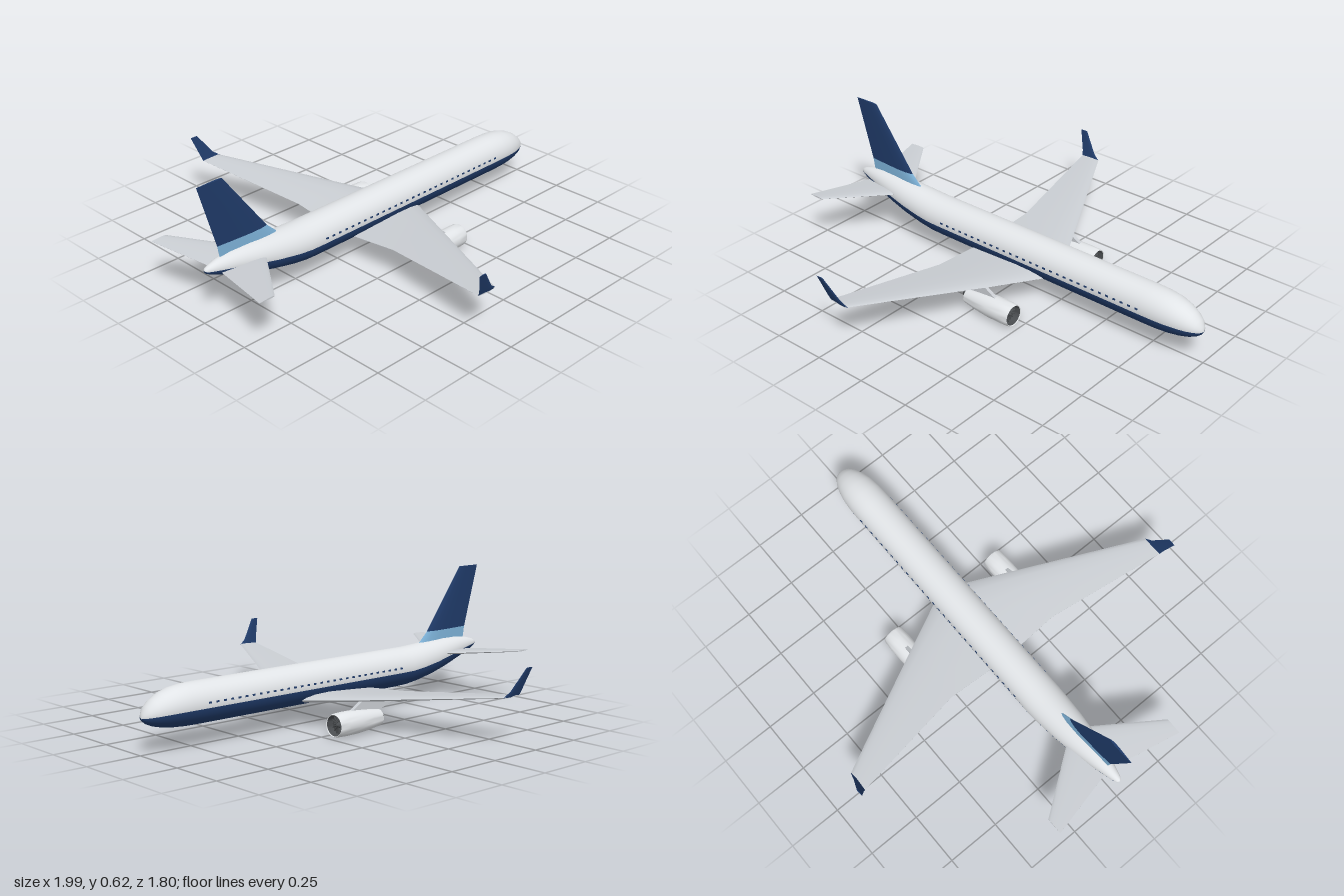
import * as THREE from 'three';
import { toCreasedNormals } from 'three/addons/utils/BufferGeometryUtils.js';

const paint = (name, color) => {
  const m = new THREE.MeshStandardMaterial({ color });
  m.name = name;
  return m;
};

// Airfoil half profile: position along the chord, half thickness
const FOIL = [[0, 0], [0.04, 0.24], [0.15, 0.45], [0.35, 0.5], [0.7, 0.27], [1, 0.03]];

// Lofts airfoil sections [leadingX, trailingX, y, z, thickness]; thickness runs along y or z
function foil(sections, along) {
  const loop = [...FOIL, ...FOIL.slice(1).reverse().map(([t, h]) => [t, -h])];
  const n = loop.length, pos = [], idx = [];
  for (const [le, te, y, z, thick] of sections) {
    for (const [t, h] of loop) {
      const off = h * thick;
      pos.push(le + (te - le) * t, y + (along === 'y' ? off : 0), z + (along === 'z' ? off : 0));
    }
  }
  for (let s = 0; s < sections.length - 1; s++) {
    for (let i = 0; i < n; i++) {
      const a = s * n + i, b = s * n + (i + 1) % n;
      idx.push(a, b, b + n, a, b + n, a + n);
    }
  }
  const last = (sections.length - 1) * n;
  for (let i = 1; i < n - 1; i++) idx.push(0, i + 1, i, last, last + i, last + i + 1);
  // Turn the faces outward whichever way the sections run
  const v = (k) => new THREE.Vector3().fromArray(pos, k * 3);
  let volume = 0;
  for (let i = 0; i < idx.length; i += 3) {
    volume += v(idx[i]).sub(v(0)).dot(v(idx[i + 1]).sub(v(0)).cross(v(idx[i + 2]).sub(v(0))));
  }
  if (volume < 0) idx.reverse();
  const g = new THREE.BufferGeometry();
  g.setAttribute('position', new THREE.Float32BufferAttribute(pos, 3));
  g.setIndex(idx);
  return toCreasedNormals(g, 0.7);
}

// Fuselage sections: x, top, bottom, half width
const BODY = [
  [-0.985, 0.241, 0.239, 0.001], [-0.98, 0.25, 0.228, 0.012], [-0.96, 0.259, 0.216, 0.02],
  [-0.92, 0.27, 0.2, 0.031], [-0.85, 0.28, 0.178, 0.047], [-0.75, 0.283, 0.146, 0.066],
  [-0.65, 0.279, 0.12, 0.079], [-0.55, 0.273, 0.101, 0.087], [-0.48, 0.27, 0.092, 0.09],
  [-0.42, 0.27, 0.09, 0.09], [0.1, 0.27, 0.09, 0.09], [0.72, 0.27, 0.09, 0.09],
  [0.79, 0.268, 0.091, 0.089], [0.85, 0.26, 0.095, 0.084], [0.9, 0.244, 0.102, 0.073],
  [0.94, 0.222, 0.112, 0.058], [0.968, 0.198, 0.124, 0.041], [0.985, 0.172, 0.137, 0.021],
  [0.991, 0.151, 0.149, 0.001],
];
const SEAM = 0.13; // angle of the paint line below the middle

function fuselageGeometry() {
  const up = 30, down = 24, n = up + down, pos = [], upper = [], lower = [];
  for (const [x, top, bottom, w] of BODY) {
    for (let i = 0; i < n; i++) {
      const a = i < up
        ? -SEAM + (Math.PI + 2 * SEAM) * i / up
        : Math.PI + SEAM + (Math.PI - 2 * SEAM) * (i - up) / down;
      pos.push(x, (top + bottom) / 2 + Math.sin(a) * (top - bottom) / 2, Math.cos(a) * w);
    }
  }
  for (let s = 0; s < BODY.length - 1; s++) {
    for (let i = 0; i < n; i++) {
      const a = s * n + i, b = s * n + (i + 1) % n;
      (i < up ? upper : lower).push(a, a + n, b + n, a, b + n, b);
    }
  }
  const g = new THREE.BufferGeometry();
  g.setAttribute('position', new THREE.Float32BufferAttribute(pos, 3));
  g.setIndex([...upper, ...lower]);
  g.addGroup(0, upper.length, 0);
  g.addGroup(upper.length, lower.length, 1);
  g.computeVertexNormals();
  return g;
}

// Turned part along x from [x, radius] points; ascending x faces outward
function turned(points) {
  const g = new THREE.LatheGeometry(points.map(([x, r]) => new THREE.Vector2(r, x)), 32);
  return toCreasedNormals(g.rotateZ(-Math.PI / 2), 0.6);
}

export function createModel() {
  const white = paint('fuselage white', 0xe2e5e8);
  const grey = paint('wing grey', 0xc9cdd2);
  const navy = paint('navy', 0x1f3a68);
  const blue = paint('light blue', 0x7db2d8);
  const dark = paint('dark metal', 0x4a4d50);

  const model = new THREE.Group();
  model.name = 'airliner';
  const add = (name, geometry, material, parent = model) => {
    const m = new THREE.Mesh(geometry, material);
    m.name = name;
    parent.add(m);
    return m;
  };

  add('fuselage', fuselageGeometry(), [white, navy]);

  // Tail fin with a pale band at its foot
  add('finBand', foil([[-0.575, -0.9, 0.255, 0, 0.026], [-0.65, -0.912, 0.325, 0, 0.022]], 'z'), blue);
  add('fin', foil([[-0.65, -0.912, 0.325, 0, 0.022], [-0.87, -0.998, 0.62, 0, 0.01]], 'z'), navy);

  for (const [side, s] of [['left', 1], ['right', -1]]) {
    // Wing, swept and rising to an upturned tip
    add(side + 'Wing', foil([
      [0.235, -0.212, 0.118, 0, 0.045],
      [0.19, -0.212, 0.124, s * 0.09, 0.04],
      [0.085, -0.205, 0.143, s * 0.3, 0.026],
      [-0.205, -0.302, 0.202, s * 0.868, 0.009],
    ], 'y'), grey);
    add(side + 'Winglet', foil([
      [-0.2, -0.302, 0.2, s * 0.864, 0.009],
      [-0.235, -0.308, 0.225, s * 0.873, 0.008],
      [-0.303, -0.34, 0.32, s * 0.899, 0.005],
    ], 'z'), navy);

    add(side + 'Stabilizer', foil([
      [-0.665, -0.912, 0.215, 0, 0.022],
      [-0.912, -0.99, 0.243, s * 0.345, 0.007],
    ], 'y'), grey);

    // Engine under the wing
    const engine = new THREE.Group();
    engine.name = side + 'Engine';
    engine.position.set(0, 0.053, s * 0.3);
    model.add(engine);
    add('nacelle', turned([[-0.035, 0.037], [0.03, 0.046], [0.1, 0.052], [0.17, 0.053],
      [0.215, 0.051], [0.225, 0.048], [0.222, 0.045]]), white, engine);
    add('intake', turned([[0.19, 0], [0.19, 0.043], [0.222, 0.045]].reverse()), dark, engine);
    add('spinner', turned([[0.19, 0.014], [0.2, 0.011], [0.212, 0]]), dark, engine);
    add('exhaust', turned([[-0.073, 0], [-0.036, 0.024], [-0.035, 0.037]]), dark, engine);
    for (let i = 0; i < 16; i++) {
      const blade = new THREE.BoxGeometry(0.006, 0.028, 0.003).rotateY(0.6).translate(0.194, 0.028, 0);
      add('fanBlade', blade.rotateX(i * Math.PI / 8), dark, engine);
    }

    // Pylon joining engine and wing
    const outline = [[0.13, 0.1], [0.06, 0.142], [-0.12, 0.142], [-0.19, 0.14], [-0.03, 0.085], [0.1, 0.085]];
    const pylon = new THREE.ExtrudeGeometry(
      new THREE.Shape(outline.map(([x, y]) => new THREE.Vector2(x, y))),
      { depth: 0.016, bevelEnabled: false });
    add(side + 'Pylon', pylon.translate(0, 0, s * 0.3 - 0.008), grey);

    // Row of cabin windows
    for (let x = -0.39; x < 0.75; x += 0.038) {
      const pane = add(side + 'Window', new THREE.BoxGeometry(0.014, 0.008, 0.004), navy);
      pane.position.set(x, 0.191, s * 0.0888);
      pane.rotation.x = -s * 0.12;
    }
  }
  return model;
}
